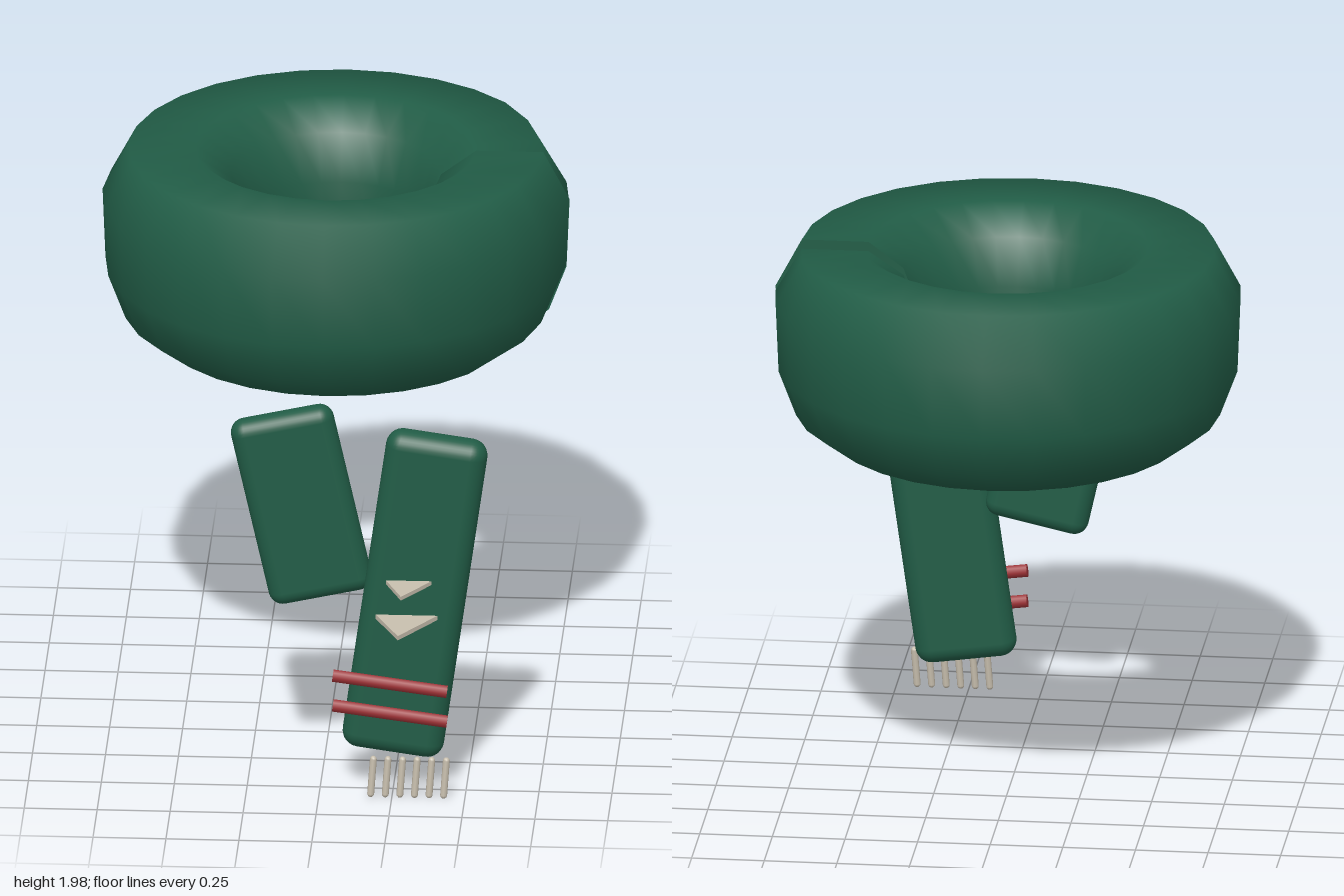
import * as THREE from 'three';
import { RoundedBoxGeometry } from 'three/addons/geometries/RoundedBoxGeometry.js';

const paint = (name, color, side = THREE.FrontSide) => {
  const m = new THREE.MeshStandardMaterial({ color, side });
  m.name = name;
  return m;
};

// Half of the wrap's cross-section as offsets from its centre; the rest is point-symmetric
const HALF = [[0.165, 0.335], [0.255, 0.165], [0.245, -0.085], [0.185, -0.245], [0.065, -0.335]];
const PROFILE = [...HALF, ...HALF.map(([r, y]) => [-r, -y])];
const RING = { radius: 0.545, y: 1.645, z: -0.2, steps: 28 };

// Section at angle u: the starting end is shallower below, the finishing end shallower above
function section(u) {
  const start = Math.max(0, 1 - u / 0.6);
  const finish = Math.max(0, 1 - (2 * Math.PI - u) / 0.6);
  return PROFILE.map(([r, y]) => [
    RING.radius + r,
    RING.y + y * (1 - 0.1 * (y > 0 ? finish : start)),
  ]);
}

function wrapGeometry() {
  const pos = [], index = [], n = PROFILE.length;
  for (let i = 0; i <= RING.steps; i++) {
    const u = (i / RING.steps) * Math.PI * 2;
    for (const [r, y] of section(u)) pos.push(r * Math.cos(u), y, RING.z + r * Math.sin(u));
    if (i === RING.steps) break;
    for (let j = 0; j < n; j++) {
      const a = i * n + j, b = a + n, c = i * n + ((j + 1) % n), d = c + n;
      index.push(a, b, c, b, d, c);
    }
  }
  const g = new THREE.BufferGeometry();
  g.setAttribute('position', new THREE.Float32BufferAttribute(pos, 3));
  g.setIndex(index);
  g.computeVertexNormals();
  return g;
}

// Flat horizontal triangle: base from x0 to x1 at zBase, pointing forward to the tip
function spikeGeometry(x0, x1, zBase, tipX, tipZ, thickness) {
  const s = new THREE.Shape([
    new THREE.Vector2(x0, -zBase),
    new THREE.Vector2(tipX, -tipZ),
    new THREE.Vector2(x1, -zBase),
  ]);
  return new THREE.ExtrudeGeometry(s, { depth: thickness, bevelEnabled: false }).rotateX(-Math.PI / 2);
}

export function createModel() {
  const model = new THREE.Group();
  model.name = 'scarf';
  const green = paint('greenWool', 0x215c46, THREE.DoubleSide);
  const red = paint('redStripe', 0x9c3034);
  const cream = paint('creamYarn', 0xc8bfae);

  const add = (name, geometry, material, x = 0, y = 0, z = 0) => {
    const mesh = new THREE.Mesh(geometry, material);
    mesh.name = name;
    mesh.position.set(x, y, z);
    model.add(mesh);
    return mesh;
  };

  // Neck wrap and its two closing ends
  add('neckWrap', wrapGeometry(), green);
  [0, Math.PI * 2].forEach((u, i) => {
    const shape = new THREE.Shape(section(u).map(([r, y]) => new THREE.Vector2(r, y)));
    add(i ? 'wrapFinish' : 'wrapStart', new THREE.ShapeGeometry(shape), green, 0, 0, RING.z);
  });

  // Hanging tails
  add('shortTail', new RoundedBoxGeometry(0.36, 0.69, 0.105, 4, 0.05), green, -0.07, 1.012, 0.658)
    .rotation.z = 0.22;
  add('longTail', new RoundedBoxGeometry(0.35, 1.18, 0.12, 4, 0.058), green, 0.325, 0.73, 0.748)
    .rotation.z = -0.14;

  // Stripes across the long tail
  for (const y of [0.42, 0.31]) {
    add('stripe', new THREE.CylinderGeometry(0.023, 0.023, 0.395, 8), red, 0.243, y, 0.82)
      .rotation.z = Math.PI / 2 - 0.13;
  }

  // Pointed tufts standing out from the long tail
  add('lowerSpike', spikeGeometry(0.19, 0.41, 0.8, 0.28, 1.0, 0.016), cream, 0, 0.654, 0);
  add('upperSpike', spikeGeometry(0.225, 0.39, 0.8, 0.288, 0.955, 0.014), cream, 0, 0.783, 0);

  // Fringe strands
  for (let i = 0; i < 6; i++) {
    const strand = add('fringe', new THREE.CapsuleGeometry(0.012, 0.125, 3, 8), cream,
      0.182 + i * 0.05, 0.079, 0.826);
    strand.rotation.set(-0.06, 0, -0.07);
  }

  return model;
}
